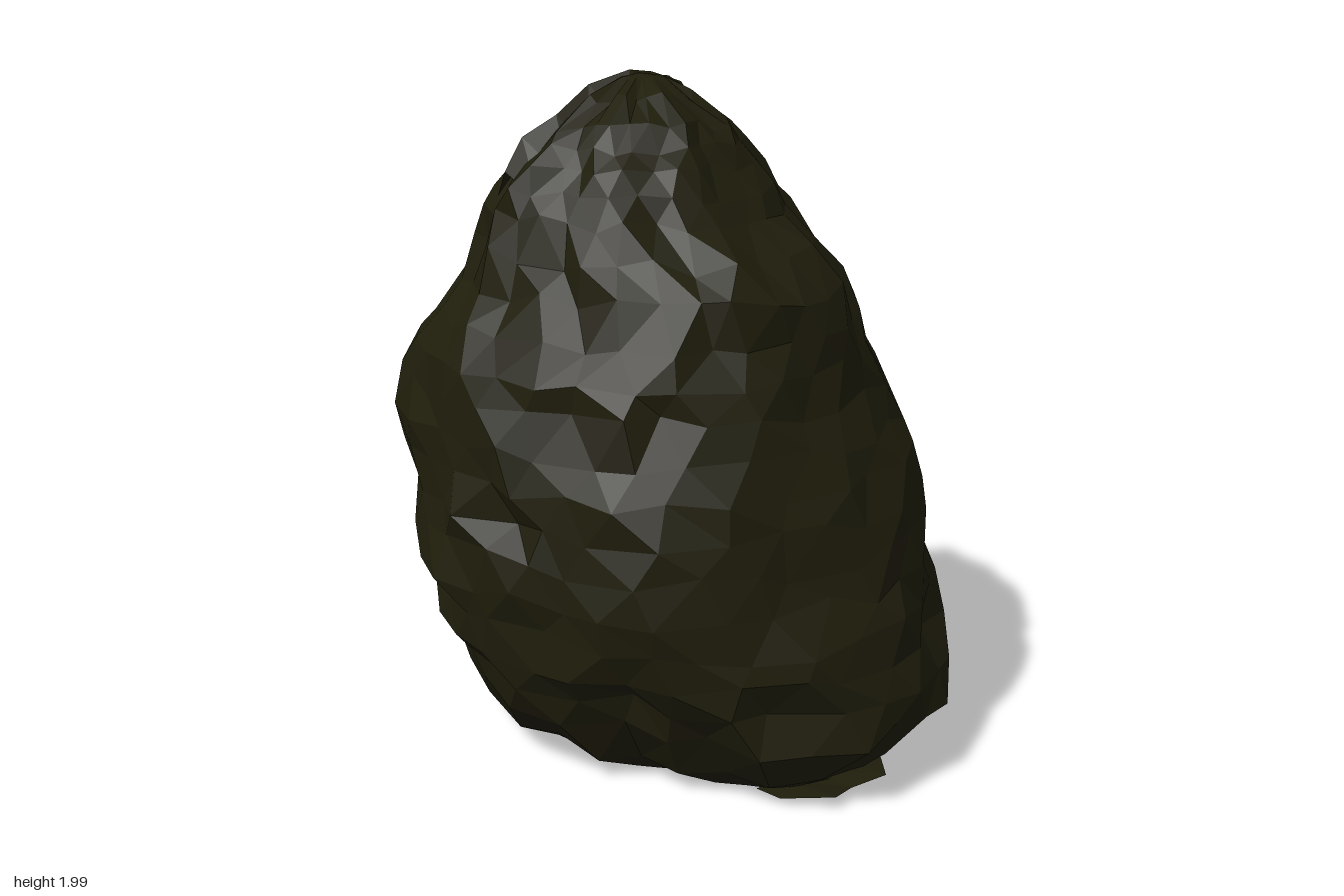
import * as THREE from 'three';

const SEG = 30;

// Cross-sections from floor to neck: y, xMin, xMax, zMin, zMax
const RINGS = [
  [0.01, -0.46, 0.58, -0.76, 0.7],
  [0.09, -0.59, 0.65, -0.77, 0.8],
  [0.22, -0.67, 0.73, -0.77, 0.91],
  [0.4, -0.77, 0.76, -0.78, 0.88],
  [0.6, -0.81, 0.76, -0.83, 0.82],
  [0.8, -0.79, 0.81, -0.84, 0.75],
  [1.0, -0.77, 0.74, -0.83, 0.68],
  [1.2, -0.74, 0.63, -0.76, 0.61],
  [1.4, -0.62, 0.54, -0.7, 0.57],
  [1.6, -0.57, 0.44, -0.59, 0.37],
  [1.74, -0.49, 0.35, -0.49, 0.27],
  [1.85, -0.38, 0.26, -0.38, 0.16],
  [1.93, -0.25, 0.13, -0.25, 0.04],
  [1.98, -0.12, 0.06, -0.19, -0.08],
];

// Local bulges and dents: angle, angular width, y, height, amount
const LUMPS = [
  [150, 22, 1, 9, -0.08],        // flattened front corner on the -x side
  [140, 20, 0.82, 0.26, 0.09],   // bulge standing out of that corner
  [140, 20, 0.22, 0.16, -0.08],  // tuck beneath it
  [228, 20, 1.05, 0.24, 0.14],   // back bulge on the -x side
  [315, 20, 0.36, 0.13, 0.08],   // low ledge at the back on the +x side
  [325, 20, 0.68, 0.13, -0.04],  // hollow above the ledge
  [315, 20, 0.12, 0.1, -0.04],   // tuck beneath the ledge
  [115, 12, 0.7, 0.1, -0.04],    // crease on the front
];

function seeded(seed) {
  return () => {
    seed = (seed * 16807) % 2147483647;
    return seed / 2147483647;
  };
}

// Radius change from all lumps at one angle and height
function lumpAt(deg, y) {
  return LUMPS.reduce((sum, [angle, width, yc, height, amount]) => {
    const d = ((deg - angle + 540) % 360) - 180;
    return sum + amount * Math.exp(-((d / width) ** 2) - ((y - yc) / height) ** 2);
  }, 0);
}

function geometryFrom(pos, index) {
  const g = new THREE.BufferGeometry();
  g.setAttribute('position', new THREE.Float32BufferAttribute(pos, 3));
  g.setIndex(index);
  g.computeVertexNormals();
  return g;
}

// Crumpled sack lofted through the cross-sections
function sackGeometry() {
  const rnd = seeded(4711);
  const pos = [], index = [];
  const rows = [];
  RINGS.forEach((r, i) => {
    rows.push(r);
    const next = RINGS[i + 1];
    if (next && i > 1 && i < 11) rows.push(r.map((v, k) => (v + next[k]) / 2));
  });
  rows.forEach(([y, x0, x1, z0, z1], i) => {
    const gap = i > 0 && i < rows.length - 1 ? (rows[i + 1][0] - rows[i - 1][0]) / 2 : 0;
    const gather = THREE.MathUtils.smoothstep(y, 1.1, 1.9);
    for (let j = 0; j < SEG; j++) {
      const deg = ((j + (i % 2) * 0.5 + (rnd() - 0.5) * 0.5) / SEG) * 360;
      const a = THREE.MathUtils.degToRad(deg);
      // random crumples, lumps, then pleats gathering towards the neck
      let k = 1.0 - 0.05 * rnd() + lumpAt(deg, y);
      if (rnd() < 0.08) k -= 0.04;
      k -= 0.13 * gather * Math.abs(Math.sin(a * 4.5 + y * 0.8));
      pos.push(
        (x0 + x1) / 2 + ((x1 - x0) / 2) * k * Math.cos(a),
        y + (rnd() - 0.5) * gap * 0.55,
        (z0 + z1) / 2 + ((z1 - z0) / 2) * k * Math.sin(a)
      );
    }
  });
  for (let i = 0; i < rows.length - 1; i++) {
    for (let j = 0; j < SEG; j++) {
      const n = (j + 1) % SEG;
      const a = i * SEG + j, b = i * SEG + n, c = a + SEG, d = b + SEG;
      if (i % 2) index.push(a, c, d, a, d, b);
      else index.push(a, c, b, b, c, d);
    }
  }
  // floor and crown fans
  const floor = pos.length / 3;
  pos.push(0.05, 0.015, 0, -0.04, 1.99, -0.14);
  const last = (rows.length - 1) * SEG;
  for (let j = 0; j < SEG; j++) {
    const n = (j + 1) % SEG;
    index.push(floor, j, n, floor + 1, last + n, last + j);
  }
  return geometryFrom(pos, index);
}

// Thin strip of film between two edges with the same number of points
function stripGeometry(edgeA, edgeB) {
  const index = [], n = edgeA.length;
  for (let i = 0; i < n - 1; i++) {
    index.push(i, n + i, i + 1, i + 1, n + i, n + i + 1);
  }
  return geometryFrom([...edgeA, ...edgeB].flat(), index);
}

export function createModel() {
  const film = new THREE.MeshStandardMaterial({ color: 0x1f1d0b });
  film.name = 'dark olive film';
  film.flatShading = true;
  film.side = THREE.DoubleSide;

  const group = new THREE.Group();
  group.name = 'tiedSack';
  const add = (name, geometry) => {
    const mesh = new THREE.Mesh(geometry, film);
    mesh.name = name;
    group.add(mesh);
  };

  add('sackBody', sackGeometry());

  // Folded lip along the gathered neck, sloping down towards -x
  const crest = [
    [-0.5, 1.73, -0.17], [-0.42, 1.82, -0.2], [-0.32, 1.88, -0.17],
    [-0.19, 1.96, -0.19], [-0.07, 2.0, -0.15], [0.03, 1.99, -0.17], [0.11, 1.96, -0.13],
  ];
  add('neckFoldFront', stripGeometry(crest, crest.map(([x, y], i) =>
    [x * 0.95 + 0.02, y - 0.09 - 0.03 * (i % 2), -0.06 + 0.04 * (i % 2)])));
  add('neckFoldBack', stripGeometry(crest, crest.map(([x, y], i) =>
    [x * 0.95, y - 0.08 - 0.03 * (i % 2), -0.25 - 0.03 * (i % 2)])));

  // Loose scraps of film spread on the floor
  add('backFloorFlap', stripGeometry(
    [[-0.16, 0.03, -0.73], [-0.06, 0.04, -0.82], [0.02, 0.05, -0.9], [0.06, 0.045, -0.89], [0.14, 0.03, -0.77]],
    [[-0.16, 0.02, -0.7], [-0.06, 0.02, -0.7], [0.02, 0.02, -0.7], [0.06, 0.02, -0.7], [0.14, 0.02, -0.7]]));
  add('frontFloorFlap', stripGeometry(
    [[-0.2, 0.03, 0.7], [-0.1, 0.05, 0.82], [0.0, 0.03, 0.78], [0.12, 0.04, 0.8], [0.22, 0.02, 0.68]],
    [[-0.2, 0.02, 0.6], [-0.1, 0.02, 0.6], [0.0, 0.02, 0.6], [0.12, 0.02, 0.6], [0.22, 0.02, 0.6]]));

  return group;
}
